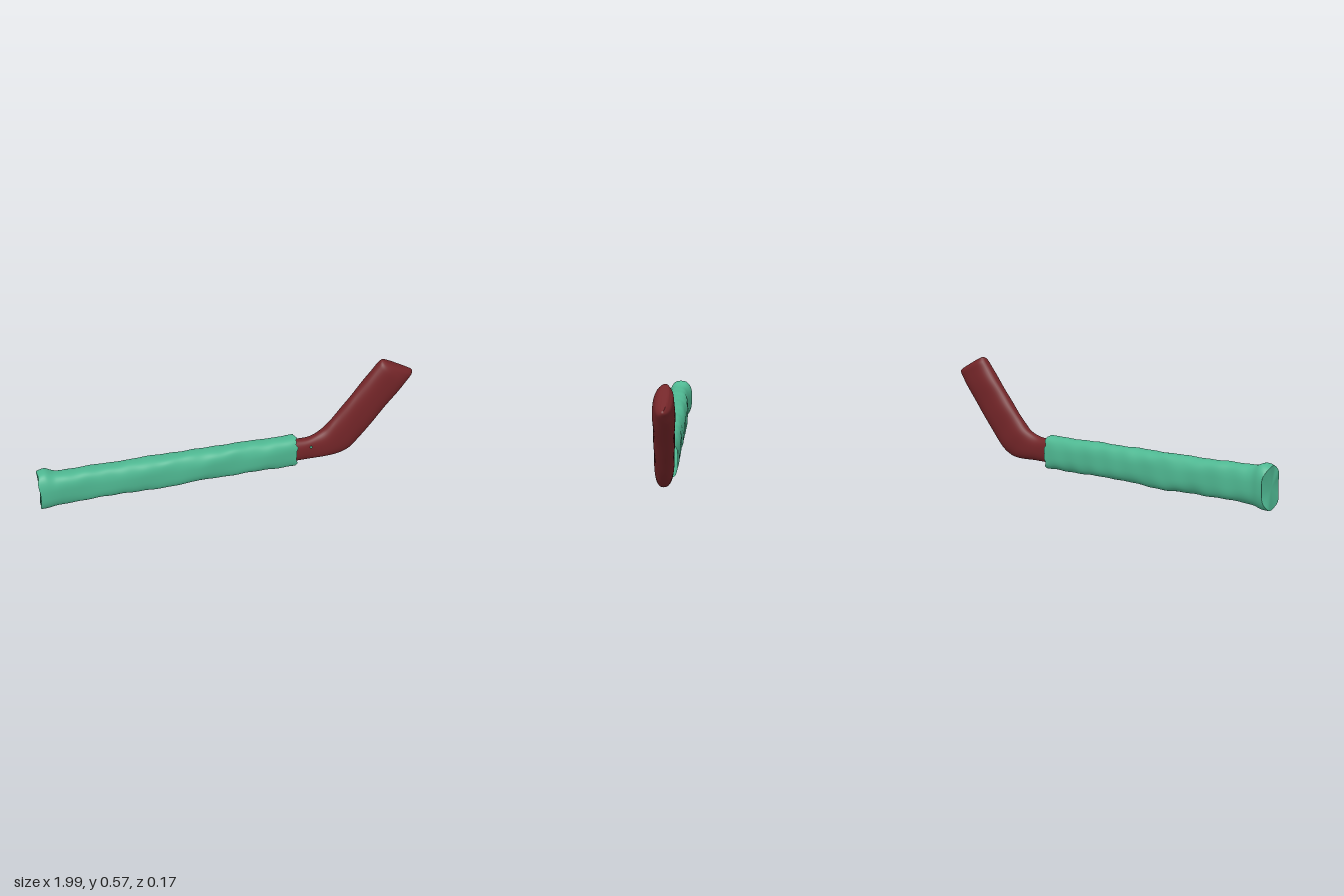
import * as THREE from 'three';

// Smooth interpolation through a list of equal-length rows, t in 0..1
function sampleRows(rows, t) {
  const f = Math.min(t, 0.99999) * (rows.length - 1), i = Math.floor(f), u = f - i;
  const at = k => rows[Math.max(0, Math.min(rows.length - 1, k))];
  return rows[0].map((_, c) => {
    const a = at(i - 1)[c], b = at(i)[c], d = at(i + 1)[c], e = at(i + 2)[c];
    return b + 0.5 * u * (d - a + u * (2 * a - 5 * b + 4 * d - e + u * (3 * (b - d) + e - a)));
  });
}

// Loft of rounded sections. Row: topX, topY, bottomX, bottomY, zMin, zMax
// caps lists the closed ends (0 = first row, 1 = last row)
function loft(rows, { steps, sides, power, caps, deform }) {
  const pos = [], index = [], p = new THREE.Vector3();
  const bulge = v => Math.sign(v) * Math.abs(v) ** power;
  for (let i = 0; i <= steps; i++) {
    const [tx, ty, bx, by, z0, z1] = sampleRows(rows, i / steps);
    for (let j = 0; j < sides; j++) {
      const a = j / sides * Math.PI * 2;
      const c = 0.5 + 0.5 * bulge(Math.cos(a)), s = bulge(Math.sin(a));
      p.set(bx + (tx - bx) * c, by + (ty - by) * c, (z0 + z1) / 2 + s * (z1 - z0) / 2);
      deform(p, i / steps, a);
      pos.push(p.x, p.y, p.z);
      if (i < steps) {
        const q = i * sides + j, r = i * sides + (j + 1) % sides;
        index.push(q, r, q + sides, r, r + sides, q + sides);
      }
    }
  }
  // Caps get their own rim vertices so the edge stays crisp
  for (const end of caps) {
    const start = end * steps * sides, rim = pos.length / 3, centre = rim + sides, m = [0, 0, 0];
    for (let j = 0; j < sides; j++) for (let k = 0; k < 3; k++) {
      const v = pos[(start + j) * 3 + k];
      pos.push(v);
      m[k] += v / sides;
    }
    pos.push(...m);
    for (let j = 0; j < sides; j++) {
      const q = rim + j, r = rim + (j + 1) % sides;
      index.push(...(end ? [centre, q, r] : [centre, r, q]));
    }
  }
  const g = new THREE.BufferGeometry();
  g.setAttribute('position', new THREE.Float32BufferAttribute(pos, 3));
  g.setIndex(index);
  g.computeVertexNormals();
  return g;
}

export function createModel() {
  const group = new THREE.Group();
  const add = (name, geometry, color, side = THREE.FrontSide) => {
    const mesh = new THREE.Mesh(geometry, new THREE.MeshStandardMaterial({ color, side }));
    mesh.name = name;
    group.add(mesh);
    return mesh;
  };

  // Wrinkled sleeve, closed at its flared end and open around the shaft
  const sleeveRows = [
    [-0.99, 0.218, -0.99, 0.006, -0.045, 0.084], [-0.95, 0.227, -0.95, 0.008, -0.045, 0.084],
    [-0.9, 0.212, -0.9, 0.018, -0.036, 0.081], [-0.82, 0.205, -0.82, 0.021, -0.036, 0.077],
    [-0.6, 0.2, -0.6, 0.02, -0.045, 0.07], [-0.4, 0.197, -0.4, 0.011, -0.052, 0.066],
    [-0.1, 0.193, -0.1, 0.018, -0.056, 0.059], [0.15, 0.189, 0.15, 0.012, -0.06, 0.051],
    [0.36, 0.185, 0.36, 0.007, -0.063, 0.046],
  ];
  const wrinkle = (p, t, a) => {
    const x = p.x;
    p.y += 0.0015 * Math.sin(x * 23 + a * 2) + 0.001 * Math.sin(x * 57 + a);
    p.z += 0.0015 * Math.sin(x * 17 + a * 3) + 0.001 * Math.sin(x * 49 - a * 2);
    // Ragged near rim, and a fold in the back of the flared rim
    if (t > 0.98) p.x += 0.004 * Math.sin(a * 7) + 0.003 * Math.sin(a * 13);
    if (t < 0.06) {
      const fade = 1 - t / 0.06;
      p.x += fade * (0.025 * Math.max(0, -Math.sin(a)) ** 6 + 0.003 * Math.sin(a * 5));
    }
  };
  add('sleeve', loft(sleeveRows, { steps: 140, sides: 48, power: 0.75, caps: [0], deform: wrinkle }), 0x4fb892, THREE.DoubleSide);

  // Shaft bending up into the blade, with a tapered tip
  const stickRows = [
    [0.3, 0.165, 0.3, 0.035, -0.038, 0.035], [0.36, 0.165, 0.36, 0.035, -0.04, 0.034],
    [0.44, 0.166, 0.46, 0.035, -0.043, 0.033], [0.51, 0.195, 0.59, 0.034, -0.058, 0.03],
    [0.56, 0.245, 0.66, 0.056, -0.064, 0.027], [0.62, 0.317, 0.72, 0.112, -0.07, 0.023],
    [0.68, 0.393, 0.795, 0.207, -0.076, 0.019], [0.74, 0.47, 0.87, 0.304, -0.083, 0.015],
    [0.79, 0.535, 0.945, 0.4, -0.085, 0.012], [0.812, 0.562, 0.985, 0.453, -0.08, 0.002],
    [0.825, 0.571, 0.998, 0.475, -0.068, -0.016], [0.84, 0.566, 0.993, 0.487, -0.055, -0.034],
  ];
  const soften = (p, t, a) => { p.z += 0.001 * Math.sin(t * 40 + a * 2); };
  add('shaftAndBlade', loft(stickRows, { steps: 88, sides: 40, power: 0.85, caps: [0, 1], deform: soften }), 0x732528);

  // Small stud on the front of the shaft
  const stud = add('stud', new THREE.SphereGeometry(0.007, 12, 8), 0x4fb892);
  stud.position.set(0.44, 0.128, 0.03);
  stud.scale.z = 0.5;

  return group;
}
